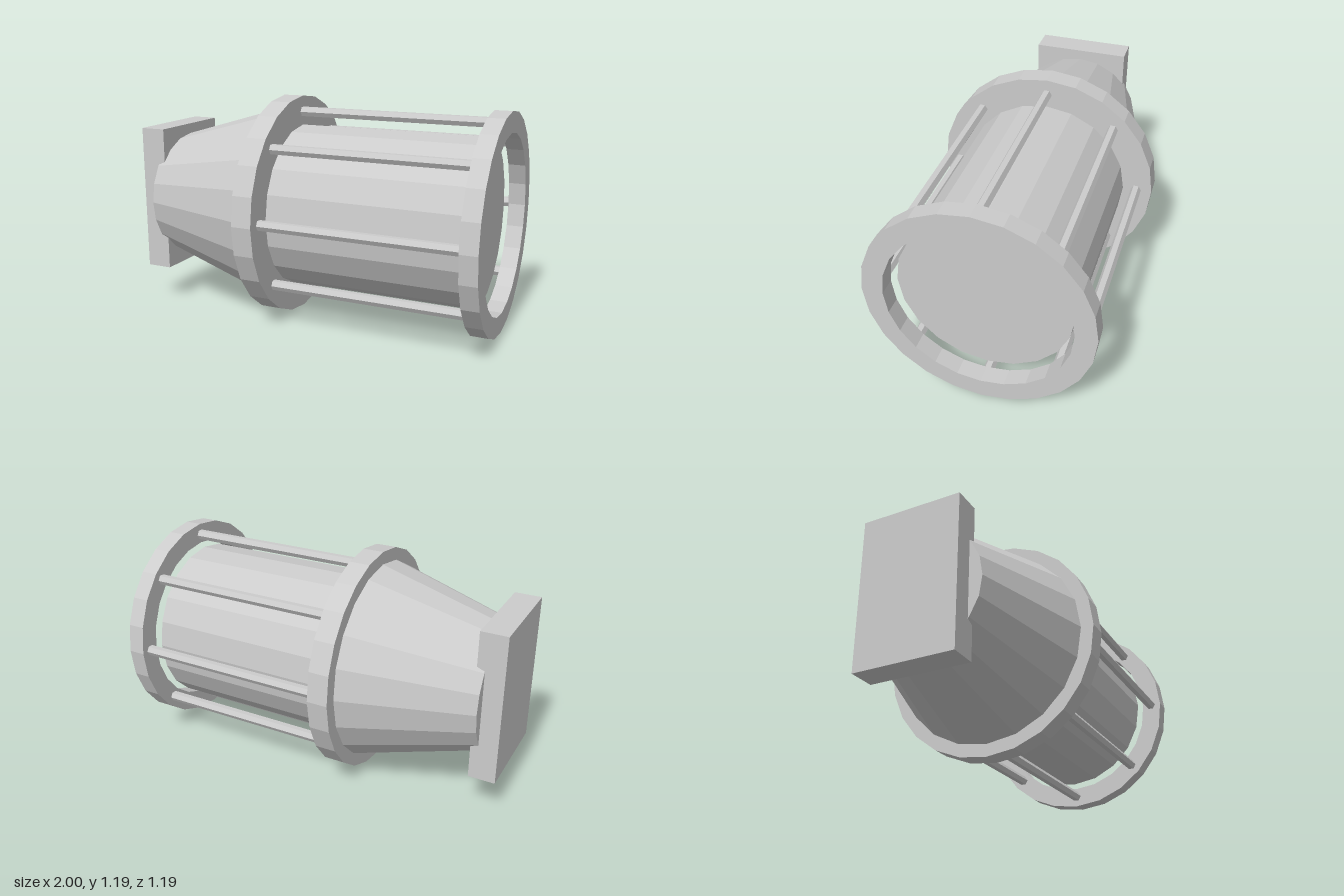
import * as THREE from 'three';

const AXIS_Y = 0.597;

export function createModel() {
  const model = new THREE.Group();
  const material = new THREE.MeshStandardMaterial({ color: 0xcccccc, flatShading: true });

  function add(name, geometry, x = 0, y = AXIS_Y, z = 0) {
    const mesh = new THREE.Mesh(geometry, material);
    mesh.name = name;
    mesh.position.set(x, y, z);
    model.add(mesh);
    return mesh;
  }

  // Round part lying along x, from x0 (radius r0) to x1 (radius r1)
  function round(name, x0, r0, x1, r1, sides, y, z) {
    const geometry = new THREE.CylinderGeometry(r1, r0, x1 - x0, sides).rotateZ(-Math.PI / 2);
    return add(name, geometry, (x0 + x1) / 2, y, z);
  }

  // Mounting plate at the narrow end
  add('mountingPlate', new THREE.BoxGeometry(0.14, 0.8, 0.53), -0.93, 0.6);

  // Tapered housing, collar and main drum
  round('taperedHousing', -0.9, 0.335, -0.24, 0.53, 20);
  round('collar', -0.24, 0.597, -0.13, 0.597, 24);
  round('drum', -0.13, 0.44, 0.89, 0.44, 20);

  // Open ring at the wide end
  const ringProfile = [[0.465, 0.91], [0.573, 0.91], [0.573, 1], [0.465, 1], [0.465, 0.91]]
    .map(([r, x]) => new THREE.Vector2(r, x));
  add('endRing', new THREE.LatheGeometry(ringProfile, 24).rotateZ(-Math.PI / 2));

  // Cage of eight rods between the collar and the ring
  for (let i = 0; i < 8; i++) {
    const a = (i / 8) * Math.PI * 2;
    round('cageRod' + (i + 1), -0.13, 0.028, 0.91, 0.028, 6,
      AXIS_Y + 0.512 * Math.cos(a), 0.512 * Math.sin(a));
  }

  return model;
}
